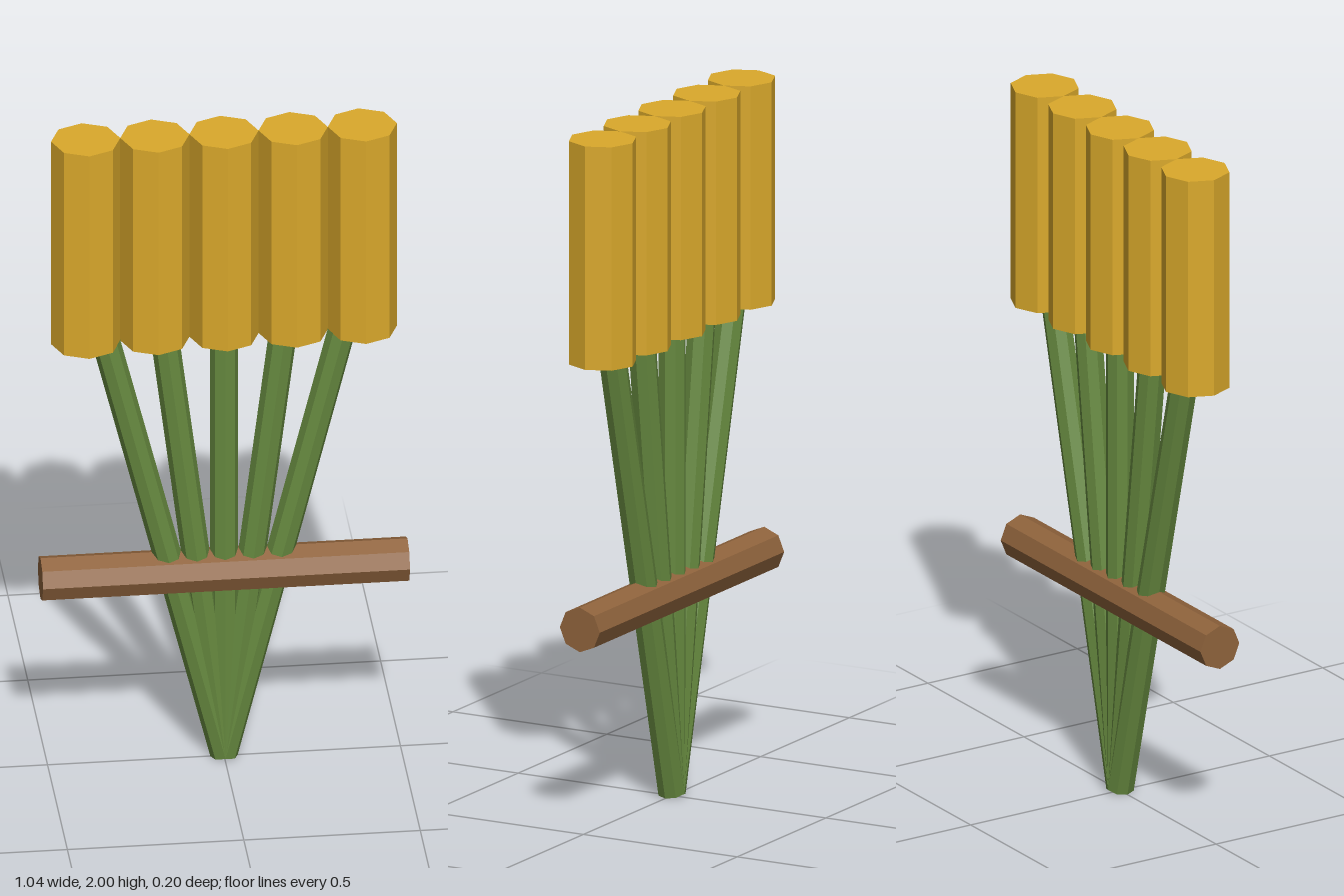
import * as THREE from 'three';

const material = (color) => {
  const m = new THREE.MeshStandardMaterial({ flatShading: true });
  m.color.set(color);
  return m;
};

// Eight-sided rod between two points
function rod(name, from, to, radius, mat) {
  const axis = to.clone().sub(from);
  const mesh = new THREE.Mesh(new THREE.CylinderGeometry(radius, radius, axis.length(), 8), mat);
  mesh.name = name;
  mesh.position.copy(from).add(to).multiplyScalar(0.5);
  mesh.quaternion.setFromUnitVectors(new THREE.Vector3(0, 1, 0), axis.normalize());
  return mesh;
}

export function createModel() {
  const group = new THREE.Group();
  group.name = 'stalkBundle';
  const gold = material(0xdaa92b);
  const green = material(0x66893f);
  const brown = material(0x8f633c);
  const v = (x, y) => new THREE.Vector3(x, y, 0);

  // Five stalks fanning out from one foot, each with an upright head
  for (let i = -2; i <= 2; i++) {
    const x = i * 0.196;
    group.add(rod('stalk', v(0, 0.01), v(x, 1.58), 0.04, green));
    group.add(rod('head', v(x, 1.35), v(x, 2), 0.098, gold));
  }

  // Crossbar through the stalks
  group.add(rod('crossbar', v(-0.52, 0.6), v(0.52, 0.6), 0.065, brown));
  return group;
}
